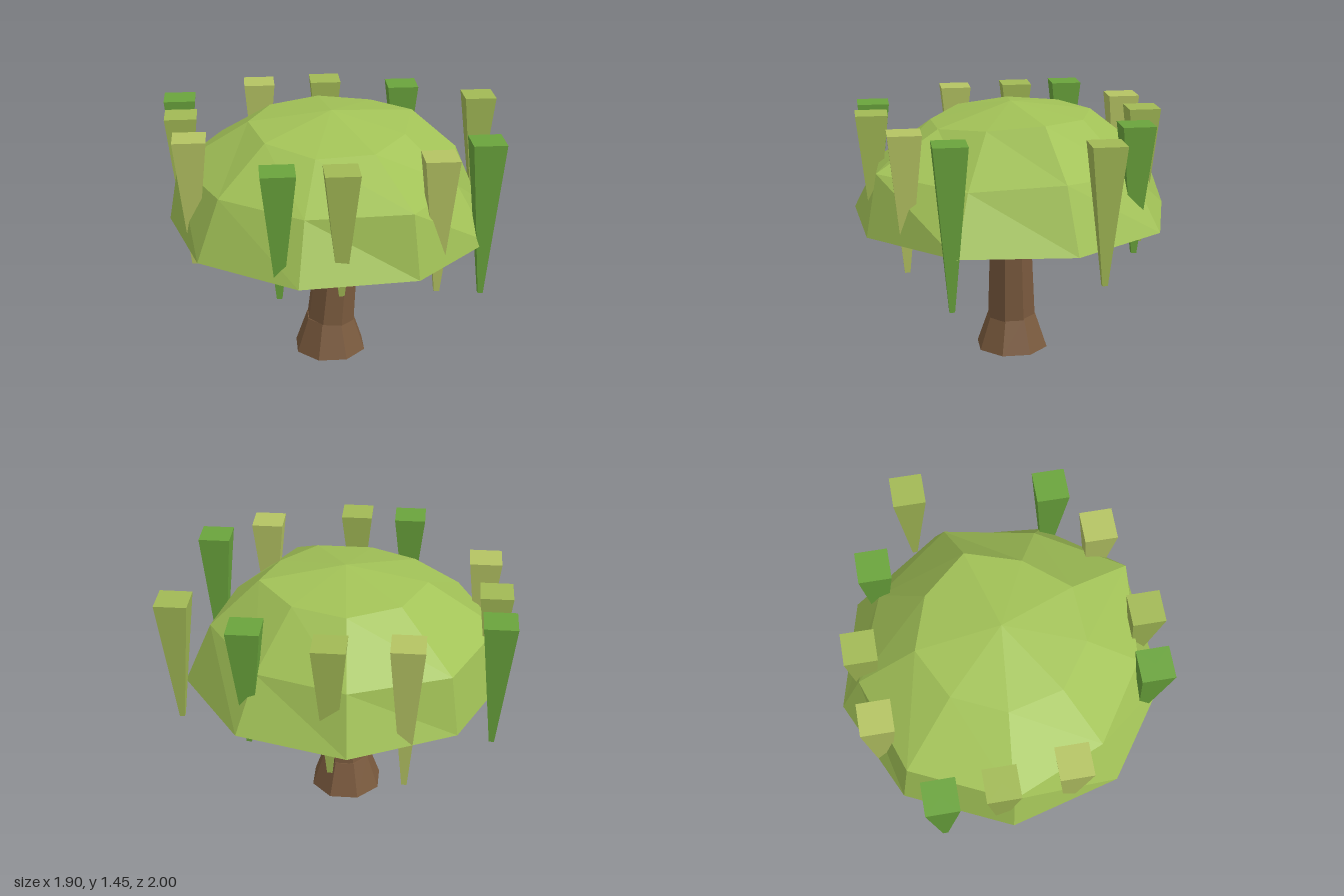
import * as THREE from 'three';

const mat = (color, side = THREE.FrontSide) =>
  new THREE.MeshStandardMaterial({ color, flatShading: true, side });

export function createModel() {
  const tree = new THREE.Group();
  tree.name = 'tree';
  const add = (name, geometry, material, x, y, z) => {
    const mesh = new THREE.Mesh(geometry, material);
    mesh.name = name;
    mesh.position.set(x, y, z);
    tree.add(mesh);
    return mesh;
  };

  // Flared root and leaning octagonal trunk
  const bark = mat(0x7a5a3e);
  add('trunkBase', new THREE.CylinderGeometry(0.14, 0.21, 0.2, 8).rotateY(Math.PI / 8), bark, -0.06, 0.1, 0.02);
  const foot = new THREE.Vector3(-0.06, 0.195, 0.025);
  const head = new THREE.Vector3(-0.027, 0.88, 0.075);
  const axis = head.clone().sub(foot);
  const length = axis.length();
  const trunk = add('trunk',
    new THREE.CylinderGeometry(0.113, 0.14, length, 8).rotateY(Math.PI / 8).translate(0, length / 2, 0),
    bark, foot.x, foot.y, foot.z);
  trunk.quaternion.setFromUnitVectors(new THREE.Vector3(0, 1, 0), axis.normalize());

  // Open nine-sided dome with uneven upper rings
  const dome = new THREE.SphereGeometry(0.905, 9, 3, -Math.PI / 2, Math.PI * 2, 0, Math.PI / 2);
  dome.scale(1, 0.64 / 0.905, 1);
  const spread = [
    [1, 1.02, 0.98, 1.05, 0.93, 1.02, 1, 1, 1],
    [1.08, 1, 0.94, 0.96, 0.92, 1.07, 0.95, 0.97, 1.08],
  ];
  const lift = [
    [0.02, 0.02, 0.02, 0.036, 0, -0.02, -0.03, 0, 0.02],
    [0.01, 0, -0.02, 0.02, -0.02, 0.02, -0.01, 0, 0.01],
  ];
  const p = dome.attributes.position;
  for (let ring = 1; ring <= 2; ring++) {
    for (let i = 0; i <= 9; i++) {
      const v = ring * 10 + i, k = (9 - i) % 9, s = spread[ring - 1][k];
      p.setXYZ(v, p.getX(v) * s, p.getY(v) + lift[ring - 1][k], p.getZ(v) * s);
    }
  }
  add('canopy', dome, mat(0xa2c257, THREE.DoubleSide), -0.06, 0.81, 0.03);

  // Hanging vines: x, z, height of the tip, shade
  const shades = [mat(0x6aa43c), mat(0xa2b955), mat(0xb5c463)];
  const vineTop = 1.4;
  [
    [-0.33, -0.875, 0.65, 0], [0.18, -0.735, 0.53, 2], [-0.54, -0.645, 0.72, 1],
    [0.48, -0.48, 0.61, 1], [-0.77, -0.34, 0.68, 2], [0.70, -0.07, 0.69, 0],
    [-0.82, 0.33, 0.71, 0], [-0.61, 0.565, 0.72, 1], [-0.14, 0.82, 0.65, 2],
    [0.205, 0.87, 0.52, 0], [0.82, 0.395, 0.66, 1],
  ].forEach(([x, z, tip, shade], i) => {
    const h = vineTop - tip;
    add(`vine${i + 1}`, new THREE.CylinderGeometry(0.125, 0.02, h, 4), shades[shade], x, tip + h / 2, z);
  });

  return tree;
}
